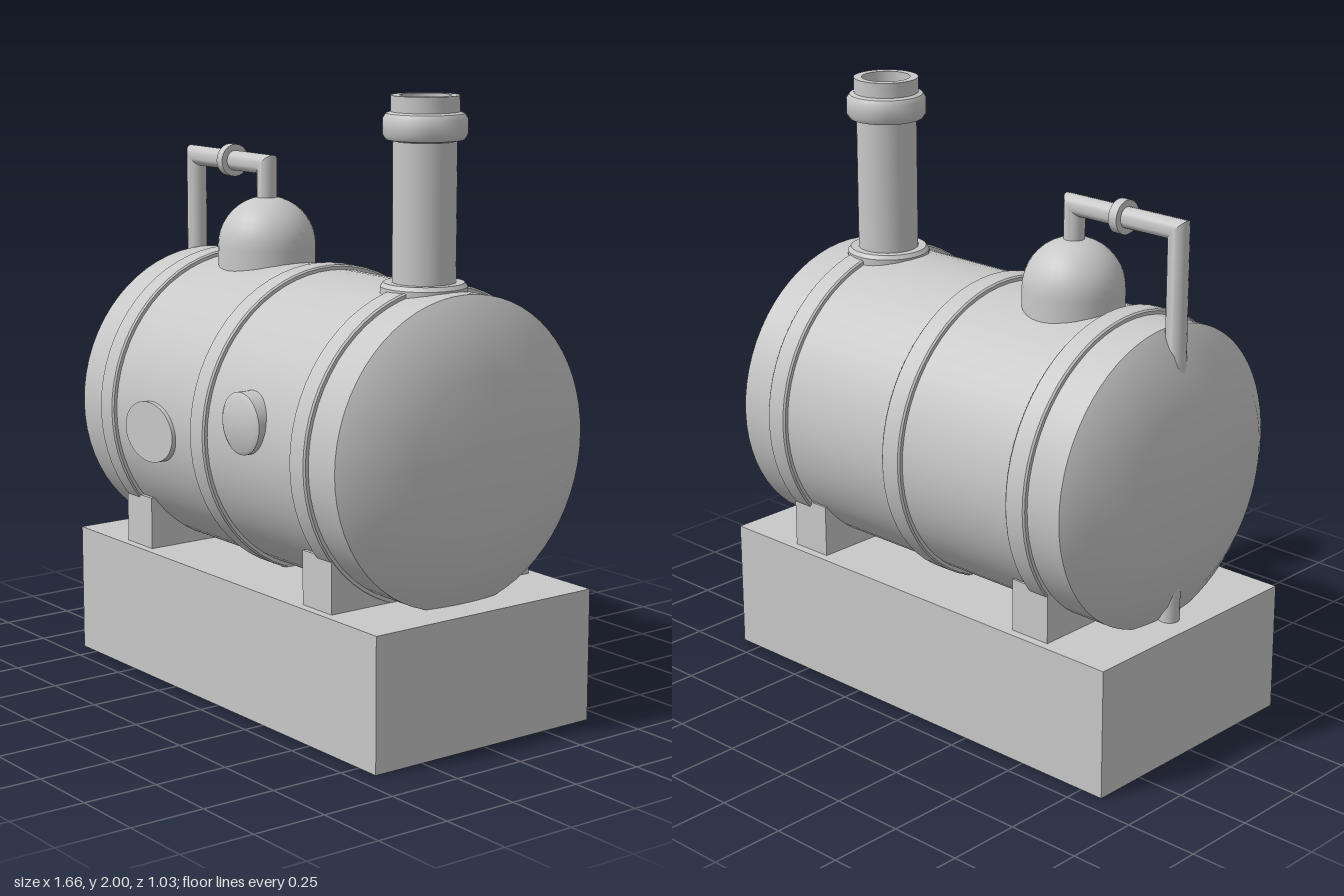
import * as THREE from 'three';
import { toCreasedNormals } from 'three/addons/utils/BufferGeometryUtils.js';

const CZ = -0.005; // depth of the tank axis
const TANK_Y = 0.91;

export function createModel() {
  const model = new THREE.Group();
  model.name = 'boilerTank';
  const grey = new THREE.MeshStandardMaterial({ color: 0xc8c8c8 });
  grey.name = 'plain grey';

  const add = (name, geometry, x = 0, y = 0, z = CZ) => {
    const mesh = new THREE.Mesh(geometry, grey);
    mesh.name = name;
    mesh.position.set(x, y, z);
    model.add(mesh);
    return mesh;
  };
  // Turned part from [radius, height] pairs, with hard edges kept
  const turned = (profile, segments = 48) => toCreasedNormals(
    new THREE.LatheGeometry(profile.map(([r, h]) => new THREE.Vector2(r, h)), segments), 0.6);

  // Plinth
  add('plinth', new THREE.BoxGeometry(1.665, 0.435, 0.865), 0, 0.2175, -0.002);

  // Tank with shallow domed ends
  const end = [[0.495, 0.705], [0.42, 0.755], [0.26, 0.8], [0.1, 0.82], [0, 0.823]];
  const tankProfile = [...end.map(([r, h]) => [r, -h]).reverse(), ...end];
  add('tank', turned(tankProfile, 64).rotateZ(-Math.PI / 2), 0, TANK_Y);

  // Straps, with slightly bevelled edges
  const strap = [[0.48, -0.04], [0.506, -0.04], [0.511, -0.034], [0.511, 0.034], [0.506, 0.04], [0.48, 0.04]];
  for (const x of [-0.537, -0.002, 0.535]) {
    add('strap', turned(strap, 64).rotateZ(-Math.PI / 2), x, TANK_Y);
  }

  // Saddles between plinth and tank
  for (const x of [-0.503, 0.5]) {
    add('saddle', new THREE.BoxGeometry(0.148, 0.19, 0.806), x, 0.515, -0.002);
  }

  // Hollow chimney with foot flange and collar
  add('chimney', turned([
    [0.1, 1.3], [0.1, 1.86], [0.122, 1.865], [0.132, 1.88], [0.132, 1.93], [0.122, 1.945],
    [0.107, 1.95], [0.107, 2], [0.08, 2], [0.08, 1.5], [0, 1.5],
  ]), 0.513, 0);
  add('chimneyFlange', turned([[0.137, 1.34], [0.137, 1.41], [0.127, 1.423], [0.09, 1.423]]), 0.513, 0);

  // Steam dome
  const dome = [[0.165, -0.13]];
  for (let i = 0; i <= 10; i++) {
    const a = (i / 10) * Math.PI / 2;
    dome.push([i === 10 ? 0 : 0.165 * Math.cos(a), 0.165 * Math.sin(a)]);
  }
  add('steamDome', turned(dome, 32), -0.32, 1.45);

  // Pipe from the dome, over and down through the tank end to the plinth
  add('steamPipe', mitredPipe([[-0.738, 0.42], [-0.738, 1.72], [-0.32, 1.72], [-0.32, 1.58]], 0.034));
  add('pipeCollar', toCreasedNormals(
    new THREE.CylinderGeometry(0.055, 0.055, 0.032, 24).rotateZ(Math.PI / 2), 0.6), -0.52, 1.72);

  // Oval hatch and round porthole on the front
  const hatch = turned([[1, -0.1], [1, 0], [0, 0]]).rotateX(Math.PI / 2).scale(0.139, 0.1, 1);
  add('ovalHatch', hatch, -0.285, 0.876, 0.502);
  add('porthole', turned([[0.099, -0.1], [0.099, -0.008], [0.086, 0], [0, 0]]).rotateX(Math.PI / 2),
    0.248, 0.993, 0.516);

  return model;
}

// Round pipe along a flat path of [x, y] corners, with mitred joints
function mitredPipe(path, radius, sides = 20) {
  const pts = path.map(([x, y]) => new THREE.Vector2(x, y));
  const normals = pts.slice(1).map((p, i) => {
    const t = p.clone().sub(pts[i]).normalize();
    return new THREE.Vector2(-t.y, t.x);
  });
  const position = [];
  const index = [];
  pts.forEach((p, i) => {
    const a = normals[Math.max(i - 1, 0)];
    const b = normals[Math.min(i, normals.length - 1)];
    const mitre = a.clone().add(b).divideScalar(1 + a.dot(b));
    for (let j = 0; j < sides; j++) {
      const angle = (j / sides) * Math.PI * 2;
      const c = Math.cos(angle) * radius;
      position.push(p.x + mitre.x * c, p.y + mitre.y * c, Math.sin(angle) * radius);
      if (i === 0) continue;
      const k = (j + 1) % sides;
      const lo = (i - 1) * sides;
      const hi = i * sides;
      index.push(lo + j, lo + k, hi + k, lo + j, hi + k, hi + j);
    }
  });
  const geometry = new THREE.BufferGeometry();
  geometry.setAttribute('position', new THREE.Float32BufferAttribute(position, 3));
  geometry.setIndex(index);
  return toCreasedNormals(geometry, 0.6);
}
